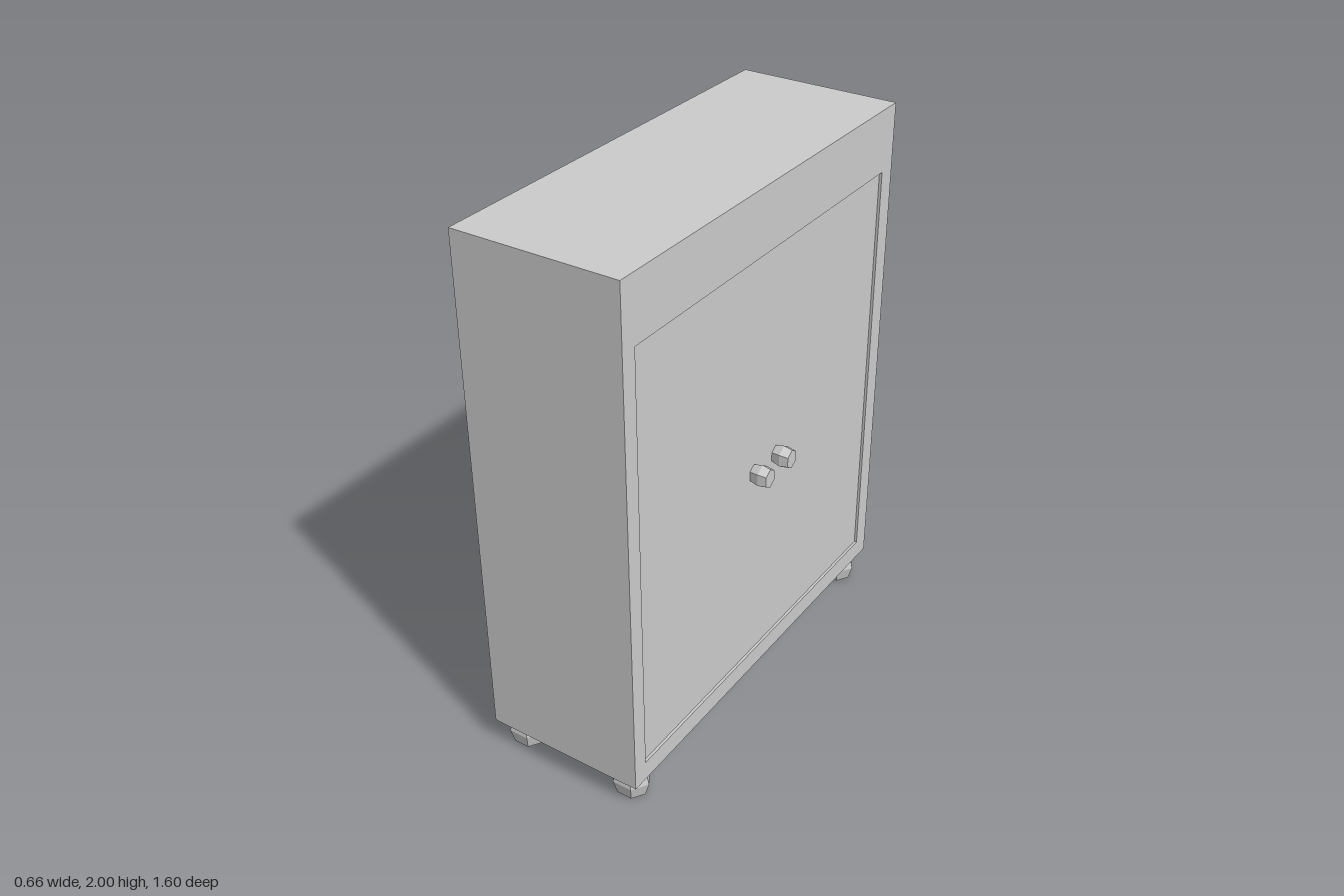
import * as THREE from 'three';

const grey = new THREE.MeshStandardMaterial({ color: 0xcccccc, flatShading: true });

function addMesh(parent, name, geometry) {
  const mesh = new THREE.Mesh(geometry, grey);
  mesh.name = name;
  parent.add(mesh);
  return mesh;
}

// Six-sided faceted barrel standing on y = 0, corners on the x axis, width across x = 2 * radius
function barrel(radius, height, squash) {
  const profile = [[0, 0], [0.78, 0], [1, 0.52], [0.84, 1], [0, 1]]
    .map(([r, y]) => new THREE.Vector2(r * radius, y * height));
  return new THREE.LatheGeometry(profile, 6, Math.PI / 2).scale(1, 1, squash);
}

export function createModel() {
  const model = new THREE.Group();
  model.name = 'cabinet';

  const back = -0.33, front = 0.275, recess = 0.01;
  const bottom = 0.105, top = 2, half = 0.8;

  // Cabinet body, up to the recessed door panel
  const depth = front - recess - back;
  addMesh(model, 'body', new THREE.BoxGeometry(depth, top - bottom, half * 2))
    .position.set(back + depth / 2, (top + bottom) / 2, 0);

  // Frame around the recessed doors, drawn with shape x = -z
  const frame = new THREE.Shape([
    [-half, bottom], [half, bottom], [half, top], [-half, top],
  ].map(p => new THREE.Vector2(...p)));
  frame.holes.push(new THREE.Path([
    [-0.74, 0.18], [-0.74, 1.77], [0.73, 1.77], [0.73, 0.18],
  ].map(p => new THREE.Vector2(...p))));
  const frameGeometry = new THREE.ExtrudeGeometry(frame, { depth: recess, bevelEnabled: false });
  frameGeometry.rotateY(Math.PI / 2);
  addMesh(model, 'doorFrame', frameGeometry).position.x = front - recess;

  // Four faceted feet
  for (const x of [-0.253, 0.196]) {
    for (const z of [-0.717, 0.717]) {
      addMesh(model, 'foot', barrel(0.074, bottom, 0.88)).position.set(x, 0, z);
    }
  }

  // Pair of door knobs, the same barrel turned on its side
  for (const z of [0.067, -0.075]) {
    const knob = addMesh(model, 'knob', barrel(0.044, 0.33 - front + recess, 0.85));
    knob.rotation.z = -Math.PI / 2;
    knob.position.set(front - recess, 0.963, z);
  }

  return model;
}
